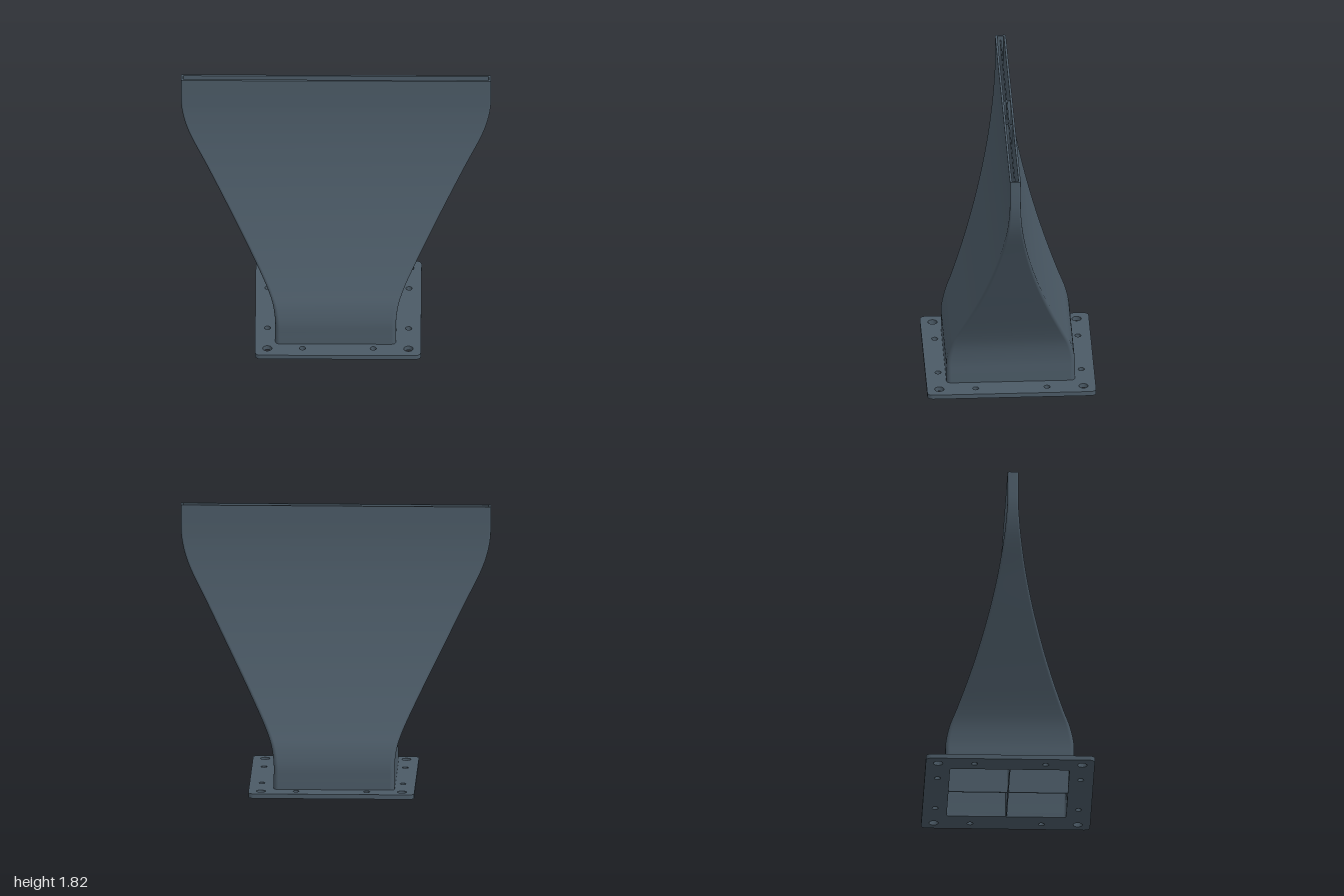
import * as THREE from 'three';
import { toCreasedNormals } from 'three/addons/utils/BufferGeometryUtils.js';

const TOP = 1.82, PLATE = 0.03;

// Outer profile: (half width, height, half depth)
const profile = new THREE.CatmullRomCurve3([
  [0.39, PLATE, 0.415], [0.39, 0.1, 0.415], [0.39, 0.19, 0.413], [0.405, 0.3, 0.388],
  [0.44, 0.4, 0.345], [0.536, 0.6, 0.264], [0.637, 0.8, 0.194], [0.738, 1.0, 0.135],
  [0.838, 1.2, 0.088], [0.938, 1.4, 0.054], [0.974, 1.5, 0.043], [0.995, 1.6, 0.036],
  [1.0, 1.68, 0.035], [1.0, TOP, 0.035],
].map((p) => new THREE.Vector3(...p)));
const sections = profile.getPoints(65).map((p) => {
  const t = (p.y - PLATE) / (TOP - PLATE);
  return { x: p.x, y: p.y, z: p.z, r: 0.03 - 0.02 * t, wall: 0.03 - 0.016 * t };
});

// Rounded rectangle at height y
function ring(hx, y, hz, r) {
  const points = [];
  [[1, 1], [-1, 1], [-1, -1], [1, -1]].forEach(([sx, sz], c) => {
    for (let k = 0; k <= 5; k++) {
      const a = (c + k / 5) * Math.PI / 2;
      points.push([sx * (hx - r) + r * Math.cos(a), y, sz * (hz - r) + r * Math.sin(a)]);
    }
  });
  return points;
}

// Skin through closed rings, facing outward when the rings rise
function loft(rings) {
  const n = rings[0].length, index = [];
  for (let i = 0; i < rings.length - 1; i++) {
    for (let j = 0; j < n; j++) {
      const a = i * n + j, b = i * n + (j + 1) % n;
      index.push(a, a + n, b, b, a + n, b + n);
    }
  }
  const g = new THREE.BufferGeometry();
  g.setAttribute('position', new THREE.Float32BufferAttribute(rings.flat(2), 3));
  g.setIndex(index);
  g.computeVertexNormals();
  return g;
}

export function createModel() {
  const model = new THREE.Group();
  const slate = new THREE.MeshStandardMaterial({ color: 0x4b5a66 });
  slate.name = 'slate plastic';
  const add = (name, geometry) => {
    const mesh = new THREE.Mesh(geometry, slate);
    mesh.name = name;
    model.add(mesh);
    return mesh;
  };

  // Duct: outer skin, inner skin and the rim between them
  const outer = sections.map((s) => ring(s.x, s.y, s.z, s.r));
  const inner = sections.map((s) => ring(s.x - s.wall, s.y, s.z - s.wall, s.r * 0.5));
  add('ductOuterSkin', loft(outer));
  add('ductInnerSkin', loft([...inner].reverse()));
  add('slotRim', loft([outer.at(-1), inner.at(-1)]));

  // Mounting flange with inlet opening and screw holes, slightly off centre
  const cx = 0.015;
  const toPath = (pts) => pts.map(([x, , z]) => new THREE.Vector2(x, z));
  const plate = new THREE.Shape(toPath(ring(0.535, 0, 0.545, 0.035)).map((p) => p.setX(p.x + cx)));
  plate.holes.push(new THREE.Path(toPath(ring(0.36, 0, 0.385, 0.015))));
  const hole = (x, z, r) => plate.holes.push(new THREE.Path().absarc(x + cx, z, r, 0, Math.PI * 2, true));
  for (const sx of [-1, 1]) {
    for (const sz of [-1, 1]) {
      hole(sx * 0.455, sz * 0.465, 0.03);
      hole(sx * 0.228, sz * 0.462, 0.02);
      hole(sx * 0.455, sz * 0.23, 0.02);
    }
  }
  const flange = new THREE.ExtrudeGeometry(plate, { depth: PLATE, bevelEnabled: false, curveSegments: 20 });
  flange.rotateX(Math.PI / 2).translate(0, PLATE, 0);
  add('mountingFlange', toCreasedNormals(flange, 0.6));

  // Internal vanes, each a thin plate that follows the inner walls
  const floor = { ...sections[0], y: 0.004 };
  const levels = [floor, ...sections.slice(0, -1)];
  const vane = (name, boxAt, rows) => {
    const rings = rows.map((s) => {
      const { c, hx, hz } = boxAt(s);
      return [[c + hx, s.y, -hz], [c + hx, s.y, hz], [c - hx, s.y, hz], [c - hx, s.y, -hz]];
    });
    // Closed ends
    const mid = (r) => r.map(() => [(r[0][0] + r[2][0]) / 2, r[0][1], 0]);
    rings.unshift(mid(rings[0]));
    rings.push(mid(rings.at(-1)));
    const g = loft(rings).toNonIndexed();
    g.computeVertexNormals();
    add(name, g);
  };
  vane('lengthwiseVane', (s) => ({ c: 0, hx: s.x - s.wall, hz: 0.004 }), levels);
  // Crosswise vane forks into two that spread toward the slot
  const fork = 0.45;
  vane('crosswiseVane', (s) => ({ c: 0, hx: 0.004, hz: s.z - s.wall }), levels.filter((s) => s.y < fork + 0.03));
  for (const side of [-1, 1]) {
    vane(side > 0 ? 'leftForkVane' : 'rightForkVane',
      (s) => ({ c: side * 0.16 * (s.y - fork) / (TOP - fork), hx: 0.004, hz: s.z - s.wall }),
      levels.filter((s) => s.y >= fork));
  }
  return model;
}
